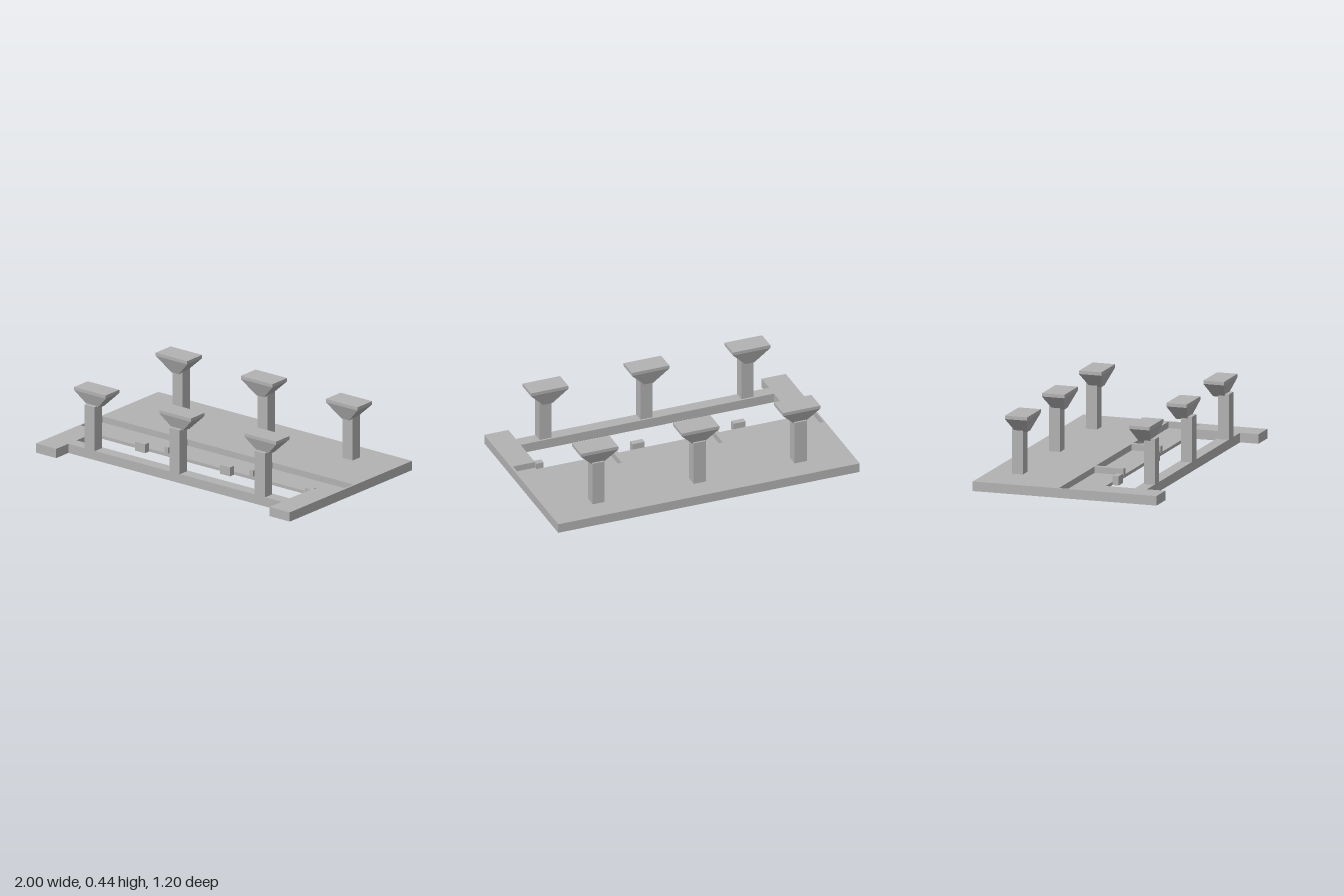
import * as THREE from 'three';

export function createModel() {
  const model = new THREE.Group();
  const grey = new THREE.MeshStandardMaterial({ color: 0xb2b2b2 });
  grey.name = 'plain grey';

  const add = (geometry, name, parent = model) => {
    const mesh = new THREE.Mesh(geometry, grey);
    mesh.name = name;
    parent.add(mesh);
    return mesh;
  };
  const points = (list) => list.map(([x, z]) => new THREE.Vector2(x, z));
  const rect = (x0, x1, z0, z1) => [[x0, z0], [x1, z0], [x1, z1], [x0, z1]];

  // Box given by its limits
  const block = (name, x0, x1, y0, y1, z0, z1, parent) => {
    const g = new THREE.BoxGeometry(x1 - x0, y1 - y0, z1 - z0);
    g.translate((x0 + x1) / 2, (y0 + y1) / 2, (z0 + z1) / 2);
    return add(g, name, parent);
  };

  // Base: outline with a shallow notch along the front
  const outline = [[-1, -0.6], [1, -0.6], [1, 0.6], [0.84, 0.6], [0.84, 0.48],
    [-0.84, 0.48], [-0.84, 0.6], [-1, 0.6]];
  const layer = (name, y0, y1, holes) => {
    const shape = new THREE.Shape(points(outline));
    holes.forEach((h) => shape.holes.push(new THREE.Path(points(h))));
    const g = new THREE.ExtrudeGeometry(shape, { depth: y1 - y0, bevelEnabled: false });
    g.rotateX(Math.PI / 2).translate(0, y1, 0);
    add(g, name);
  };

  // Lower layer: long opening and four foot pockets in the corners
  const floorY = 0.02, topY = 0.06;
  const lowerHoles = [rect(-0.84, 0.84, 0.15, 0.4)];
  for (const x of [-0.93, 0.93]) {
    for (const z of [-0.53, 0.53]) {
      lowerHoles.push(rect(x - 0.027, x + 0.027, z - 0.027, z + 0.027));
    }
  }
  layer('lowerPlate', 0, floorY, lowerHoles);

  // Upper layer: opening joined to three recessed bays split by two ribs
  const bays = [[-0.99, -0.04], [-0.35, -0.04], [-0.35, 0.15], [-0.32, 0.15], [-0.32, -0.04],
    [0.32, -0.04], [0.32, 0.15], [0.35, 0.15], [0.35, -0.04], [0.985, -0.04], [0.985, 0.17],
    [0.84, 0.17], [0.84, 0.4], [-0.84, 0.4], [-0.84, 0.17], [-0.99, 0.17]];
  layer('upperPlate', floorY, topY, [bays]);

  // Stop tabs along the front edge of the bays
  for (const x of [-0.51, 0.16, 0.83]) {
    block('stopTab', x - 0.04, Math.min(x + 0.04, 0.84), 0, 0.058, 0.15, 0.19);
  }

  // Flared support: wide at the top, narrowing to the post
  const flare = (width, depth, z, parent) => {
    const h = 0.095;
    const g = new THREE.BoxGeometry(width, h, depth);
    const p = g.attributes.position;
    for (let i = 0; i < p.count; i++) {
      if (p.getY(i) < 0) {
        p.setX(i, Math.sign(p.getX(i)) * 0.03);
        p.setZ(i, Math.sign(p.getZ(i)) * 0.0375);
      }
    }
    g.computeVertexNormals();
    g.translate(0, 0.325 + h / 2, z);
    add(g, 'capFlare', parent);
  };

  // Two rows of three posts with caps
  const rows = [
    { name: 'frontPost', post: [0.413, 0.484], cap: [0.347, 0.48] },
    { name: 'backPost', post: [-0.45, -0.377], cap: [-0.465, -0.319] },
  ];
  for (const { name, post, cap } of rows) {
    for (const x of [-0.67, 0, 0.67]) {
      const support = new THREE.Group();
      support.name = name;
      support.position.x = x;
      block('post', -0.04, 0.04, topY, 0.346, post[0], post[1], support);
      flare(0.248, cap[1] - cap[0], (cap[0] + cap[1]) / 2, support);
      block('capSlab', -0.124, 0.124, 0.42, 0.441, cap[0], cap[1], support);
      model.add(support);
    }
  }
  return model;
}
